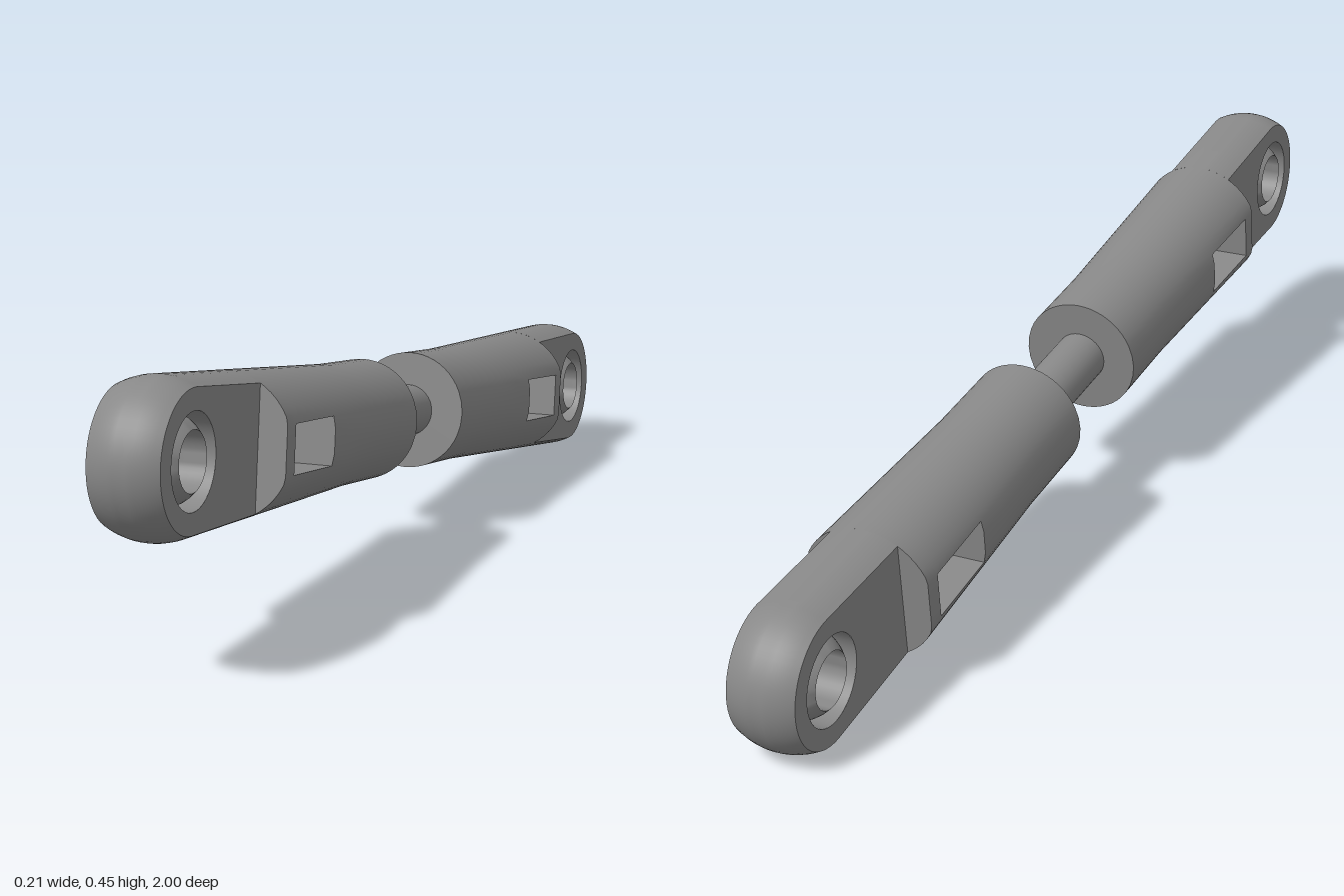
import * as THREE from 'three';
import { toCreasedNormals } from 'three/addons/utils/BufferGeometryUtils.js';

const R_END = 0.1215, R_ROD = 0.045, S_EYE = 0.885;  // eye ball radius, rod radius, eye centre
const S_IN = 0.111, S_STEP = 0.665, S_FLARE = 0.27;  // barrel start, barrel end, start of flare
const FLAT = 0.058, SIDE = 0.105;                    // half widths of eye and barrel
const WIN = { s0: 0.478, s1: 0.633, h: 0.039 };      // through slot
const R_SOCKET = 0.073, R_BORE = 0.046;

const radius = s => 0.102 + (R_END - 0.102) * Math.max(0, s - S_FLARE) / (S_EYE - S_FLARE);

// Surface from rows of [x, y, z] points; skip(i, j) leaves cells open
function grid(rows, skip = () => false, pos = []) {
  for (let i = 0; i < rows.length - 1; i++)
    for (let j = 0; j < rows[i].length - 1; j++) {
      if (skip(i, j)) continue;
      const a = rows[i][j], b = rows[i][j + 1], c = rows[i + 1][j + 1], d = rows[i + 1][j];
      pos.push(...a, ...b, ...c, ...a, ...c, ...d);
    }
  return pos;
}

function solid(pos) {
  const g = new THREE.BufferGeometry();
  g.setAttribute('position', new THREE.Float32BufferAttribute(pos, 3));
  return toCreasedNormals(g, 0.5);
}

// Round section with flattened sides; columns line up with the slot edges
const M = 4, N = 20;
function ring(s) {
  const r = radius(s), a = Math.asin(WIN.h / r), pts = [];
  const arc = (from, to, n) => {
    for (let k = 0; k < n; k++) {
      const t = from + (to - from) * k / n;
      pts.push([THREE.MathUtils.clamp(r * Math.cos(t), -SIDE, SIDE), r * Math.sin(t), s]);
    }
  };
  arc(-a, a, M);
  arc(a, Math.PI - a, N);
  arc(Math.PI - a, Math.PI + a, M);
  arc(Math.PI + a, 2 * Math.PI - a, N);
  pts.push(pts[0]);
  return pts;
}

function barrelGeometry() {
  const rows = [S_IN, 0.19, S_FLARE, 0.34, 0.41, WIN.s0, WIN.s1, S_STEP].map(ring);
  const w = 5, far = 2 * M + N;
  const isSide = j => j < M || (j >= M + N && j < far);
  const pos = grid(rows, (i, j) => i === w && isSide(j));
  // End caps
  const first = rows[0], last = rows[rows.length - 1];
  grid([first.map(() => [0, 0, S_IN]), first], undefined, pos);
  grid([last, last.map(() => [0, 0, S_STEP])], undefined, pos);
  // Slot walls
  const span = (row, j) => [row[j], row[far - j]];
  const cols = [...Array(M + 1).keys()];
  grid(cols.map(j => span(rows[w], j).reverse()), undefined, pos);
  grid(cols.map(j => span(rows[w + 1], j)), undefined, pos);
  grid([span(rows[w], 0), span(rows[w + 1], 0)], undefined, pos);
  grid([span(rows[w], M).reverse(), span(rows[w + 1], M).reverse()], undefined, pos);
  return solid(pos);
}

// Side outline of the eye at a given x, from lower root round the tip to upper root
function eyeOutline(x) {
  const root = Math.sqrt(radius(S_STEP) ** 2 - x * x), r = Math.sqrt(R_END ** 2 - x * x);
  const pts = [[x, -root, S_STEP]];
  for (let k = 0; k <= 28; k++) {
    const t = -Math.PI / 2 + Math.PI * k / 28;
    pts.push([x, r * Math.sin(t), S_EYE + r * Math.cos(t)]);
  }
  pts.push([x, root, S_STEP]);
  return pts;
}

function rimGeometry() {
  const lines = [];
  for (let i = 0; i <= 12; i++) lines.push(eyeOutline(-FLAT + 2 * FLAT * i / 12));
  return solid(grid(lines[0].map((_, k) => lines.map(l => l[k]))));
}

function eyeFaceGeometry() {
  const shape = new THREE.Shape(eyeOutline(FLAT).map(p => new THREE.Vector2(p[2], p[1])));
  shape.holes.push(new THREE.Path().absarc(S_EYE, 0, R_SOCKET, 0, Math.PI * 2, true));
  return new THREE.ShapeGeometry(shape, 24).rotateY(-Math.PI / 2);
}

// Truncated ball with a bore
function ballGeometry() {
  const t = Math.acos(R_BORE / R_SOCKET), pts = [];
  for (let k = 0; k <= 10; k++) {
    const a = -t + 2 * t * k / 10;
    pts.push(new THREE.Vector2(R_SOCKET * Math.cos(a), R_SOCKET * Math.sin(a)));
  }
  pts.push(pts[0].clone());
  return toCreasedNormals(new THREE.LatheGeometry(pts, 40), 0.5).rotateZ(Math.PI / 2);
}

export function createModel() {
  const steel = new THREE.MeshStandardMaterial({ color: 0x888888, side: THREE.DoubleSide });
  steel.name = 'grey steel';
  const add = (parent, name, geometry) => {
    const mesh = new THREE.Mesh(geometry, steel);
    mesh.name = name;
    parent.add(mesh);
    return mesh;
  };

  const barrel = barrelGeometry(), rim = rimGeometry(), face = eyeFaceGeometry(), ball = ballGeometry();
  const socket = new THREE.CylinderGeometry(R_SOCKET, R_SOCKET, 2 * FLAT, 40, 1, true).rotateZ(Math.PI / 2);

  const linkage = new THREE.Group();
  linkage.name = 'linkage';
  // Two equal ends, the rear one turned half round about x
  for (const [name, turn] of [['frontEnd', 0], ['rearEnd', Math.PI]]) {
    const end = new THREE.Group();
    end.name = name;
    end.rotation.x = turn;
    add(end, 'barrel', barrel);
    add(end, 'eyeRim', rim);
    for (const side of [-1, 1]) add(end, side < 0 ? 'rightEyeFace' : 'leftEyeFace', face).position.x = side * FLAT;
    add(end, 'socket', socket).position.z = S_EYE;
    add(end, 'bearingBall', ball).position.z = S_EYE;
    linkage.add(end);
  }
  // Threaded rod between the barrels
  add(linkage, 'rod', new THREE.CylinderGeometry(R_ROD, R_ROD, 2 * S_IN + 0.04, 32).rotateX(Math.PI / 2));

  linkage.rotation.x = -0.1195;
  linkage.position.y = 0.228;
  const model = new THREE.Group();
  model.name = 'turnbuckleLink';
  model.add(linkage);
  return model;
}
